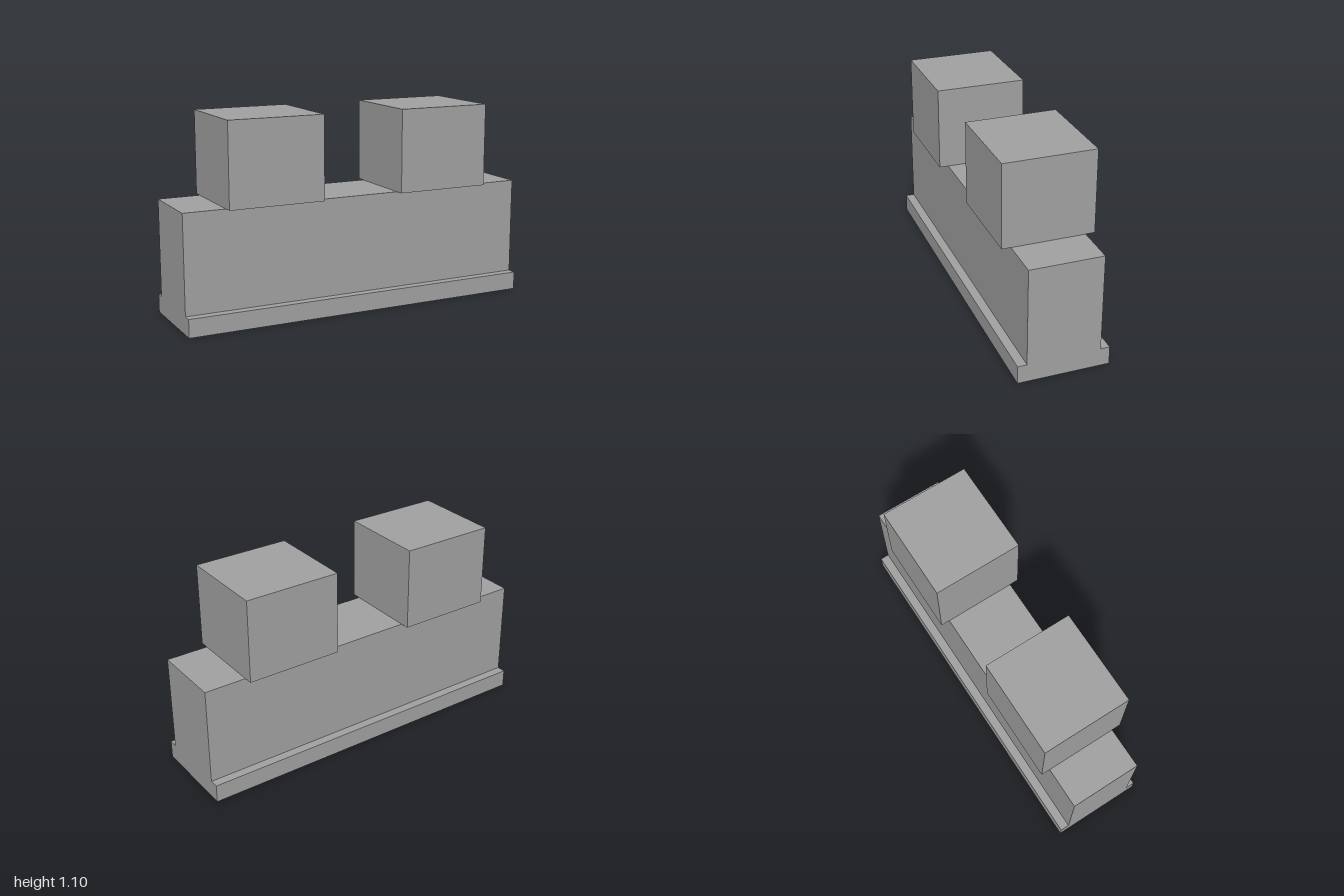
import * as THREE from 'three';

// Box standing on y, optionally without its bottom face
function box(name, material, [w, h, d], [x, y, z], openBottom = false) {
  const geometry = new THREE.BoxGeometry(w, h, d);
  if (openBottom) {
    const index = Array.from(geometry.index.array);
    index.splice(18, 6); // the downward face
    geometry.setIndex(index);
    geometry.clearGroups();
  }
  const mesh = new THREE.Mesh(geometry, material);
  mesh.name = name;
  mesh.position.set(x, y + h / 2, z);
  return mesh;
}

export function createModel() {
  const group = new THREE.Group();
  group.name = 'battlementWall';

  const stone = new THREE.MeshStandardMaterial({ color: 0xa0a0a0, side: THREE.DoubleSide });
  stone.name = 'grey stone';

  // Hollow plinth, open underneath; its top closes the wall above
  group.add(box('plinth', stone, [2, 0.1, 0.5], [0, 0, 0], true));

  // Wall
  group.add(box('wall', stone, [2, 0.54, 0.4], [0, 0.1, 0], true));

  // Pair of overhanging merlons
  for (const side of [-1, 1]) {
    const name = side > 0 ? 'leftMerlon' : 'rightMerlon';
    group.add(box(name, stone, [0.535, 0.46, 0.5], [side * 0.5, 0.64, 0]));
  }

  return group;
}
